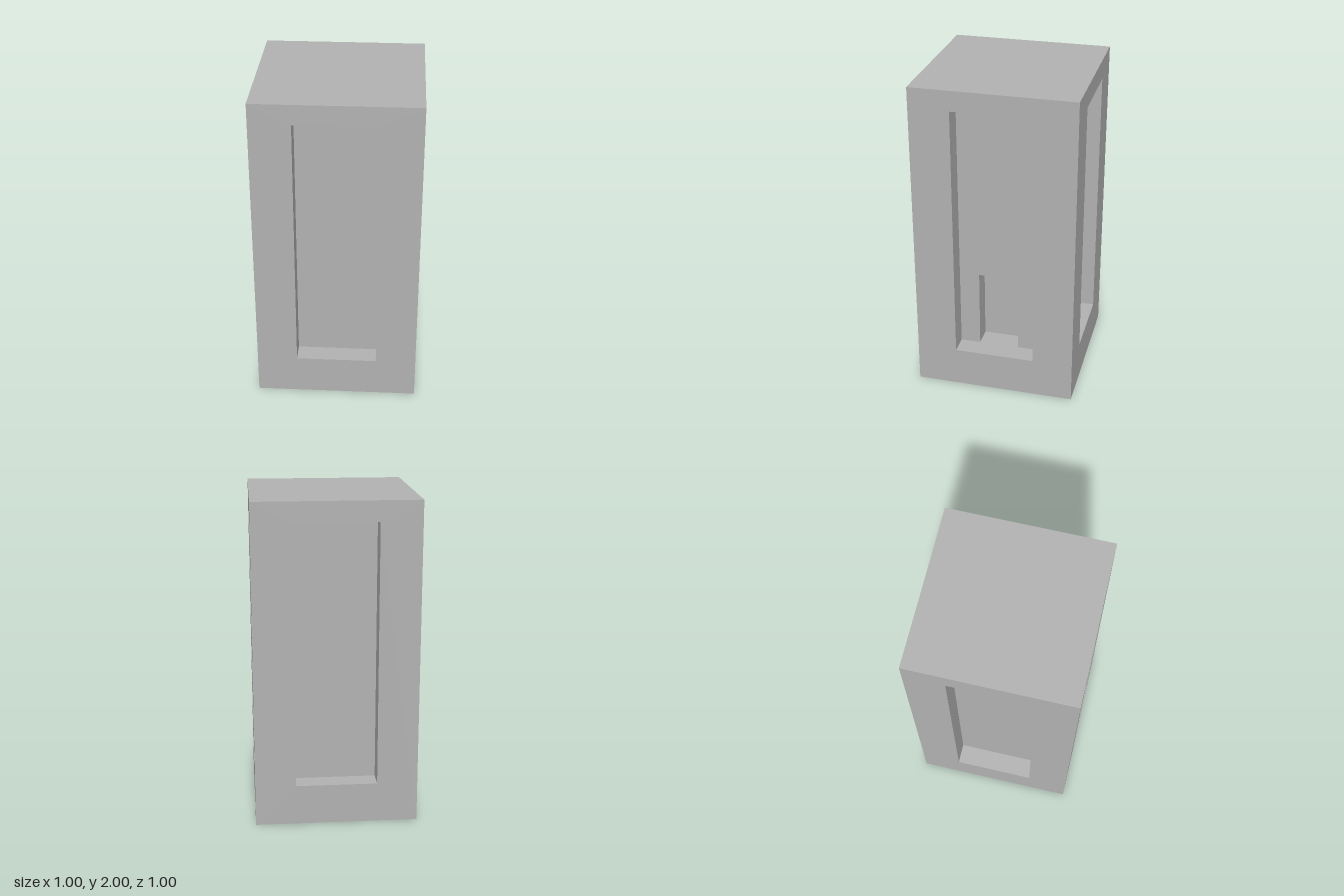
import * as THREE from 'three';

const HALF = 0.5, HEIGHT = 2, DEPTH = 0.125;
const NICHE = { w: 0.25, y0: 0.25, y1: 1.875 };
const DOOR = { w: 0.125, y0: 0.25, y1: 0.75 };

// Corners of a rectangle, anticlockwise from bottom left
const corners = ({ w, y0, y1 }) => [[-w, y0], [w, y0], [w, y1], [-w, y1]];
const vectors = (points) => points.map(([x, y]) => new THREE.Vector2(x, y));

// Flat face at depth z, with an optional rectangular hole
function face(points, z, hole) {
  const shape = new THREE.Shape(vectors(points));
  if (hole) shape.holes.push(new THREE.Path(vectors(hole)));
  return new THREE.ShapeGeometry(shape).translate(0, 0, z);
}

// Four inward-facing walls running back from a rectangular opening
function reveal(points, front, back) {
  const positions = [];
  points.forEach(([ax, ay], i) => {
    const [bx, by] = points[(i + 1) % points.length];
    positions.push(
      ax, ay, front, bx, by, front, bx, by, back,
      ax, ay, front, bx, by, back, ax, ay, back
    );
  });
  const geometry = new THREE.BufferGeometry();
  geometry.setAttribute('position', new THREE.Float32BufferAttribute(positions, 3));
  geometry.computeVertexNormals();
  return geometry;
}

export function createModel() {
  const grey = new THREE.MeshStandardMaterial({ color: 0xb2b2b2 });
  grey.name = 'plain grey';
  const model = new THREE.Group();
  model.name = 'nichedBlock';

  const add = (parent, name, geometry) => {
    const mesh = new THREE.Mesh(geometry, grey);
    mesh.name = name;
    parent.add(mesh);
    return mesh;
  };

  // Four sides, each with a tall niche; the left one also has a doorway
  const wall = corners({ w: HALF, y0: 0, y1: HEIGHT });
  const niche = corners(NICHE);
  const door = corners(DOOR);
  const inner = HALF - DEPTH;
  ['frontSide', 'leftSide', 'backSide', 'rightSide'].forEach((name, i) => {
    const side = new THREE.Group();
    side.name = name;
    side.rotation.y = i * Math.PI / 2;
    model.add(side);

    add(side, 'outerWall', face(wall, HALF, niche));
    add(side, 'nicheReveal', reveal(niche, HALF, inner));

    if (name === 'leftSide') {
      // Niche back notched around the doorway, which reaches its floor
      const notched = [niche[0], door[0], door[3], door[2], door[1], ...niche.slice(1)];
      add(side, 'nicheBack', face(notched, inner));
      add(side, 'doorReveal', reveal(door, inner, inner - DEPTH));
      add(side, 'doorBack', face(door, inner - DEPTH));
    } else {
      add(side, 'nicheBack', face(niche, inner));
    }
  });

  // Flat roof and underside
  const roof = add(model, 'roof', new THREE.PlaneGeometry(2 * HALF, 2 * HALF));
  roof.rotation.x = -Math.PI / 2;
  roof.position.y = HEIGHT;
  const underside = add(model, 'underside', new THREE.PlaneGeometry(2 * HALF, 2 * HALF));
  underside.rotation.x = Math.PI / 2;

  return model;
}
